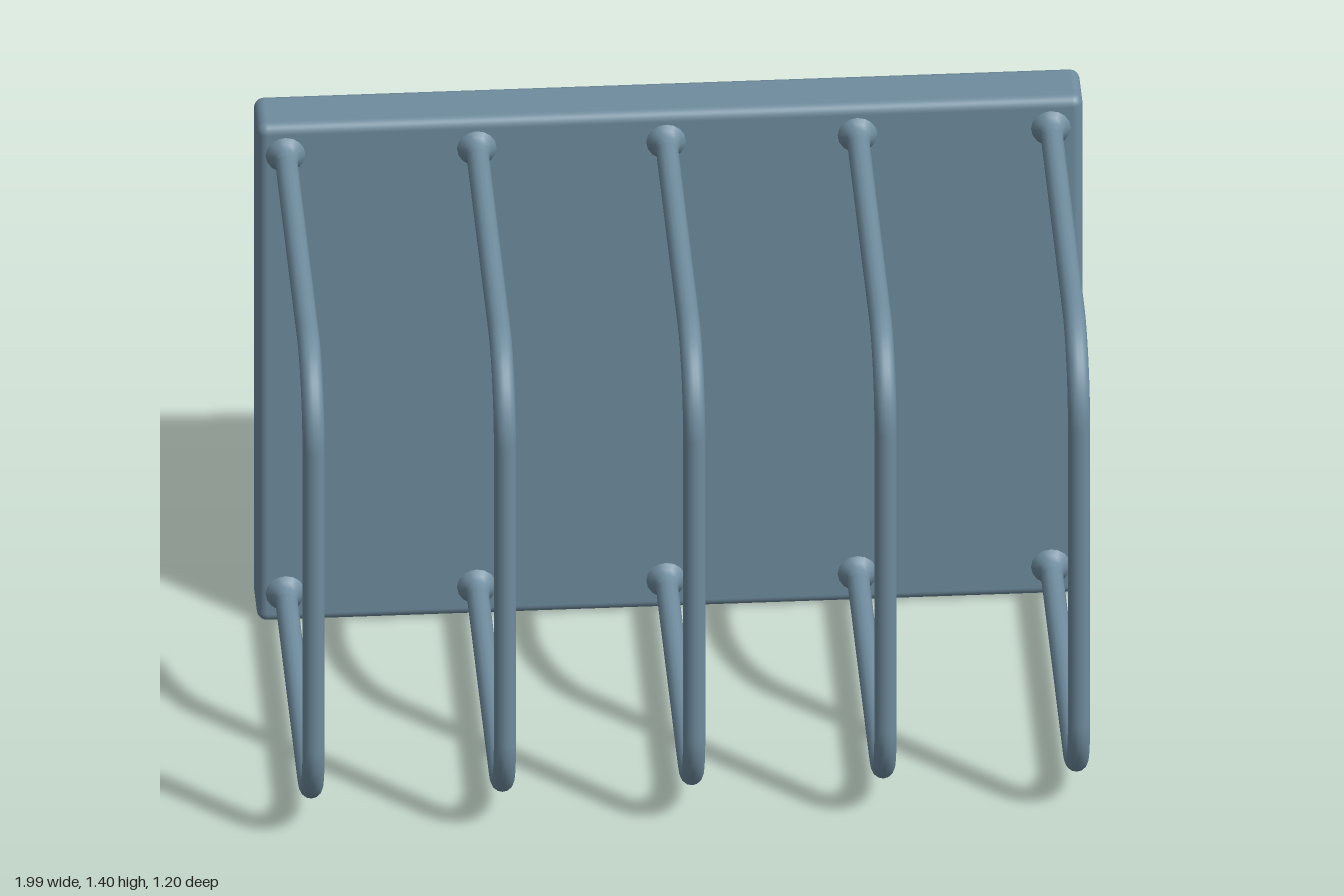
import * as THREE from 'three';
import { RoundedBoxGeometry } from 'three/addons/geometries/RoundedBoxGeometry.js';

const PLATE_FRONT = -0.44, PLATE_BACK = -0.592;
const LOW = 0.1, HIGH = 1.34, REACH = 0.583, BEND = 0.2, ROD = 0.027;

// U-shaped hoop in the y-z plane: straight runs joined by rounded bends
function hoopPath() {
  const v = (y, z) => new THREE.Vector3(0, y, z);
  const path = new THREE.CurvePath();
  const k = BEND * 0.45; // bezier handle inset from the corner
  const start = PLATE_FRONT - 0.05;
  path.add(new THREE.LineCurve3(v(LOW, start), v(LOW, REACH - BEND)));
  path.add(new THREE.CubicBezierCurve3(v(LOW, REACH - BEND), v(LOW, REACH - k), v(LOW + k, REACH), v(LOW + BEND, REACH)));
  path.add(new THREE.LineCurve3(v(LOW + BEND, REACH), v(HIGH - BEND, REACH)));
  path.add(new THREE.CubicBezierCurve3(v(HIGH - BEND, REACH), v(HIGH - k, REACH), v(HIGH, REACH - k), v(HIGH, REACH - BEND)));
  path.add(new THREE.LineCurve3(v(HIGH, REACH - BEND), v(HIGH, start)));
  return path;
}

export function createModel() {
  const group = new THREE.Group();
  const material = new THREE.MeshStandardMaterial({ color: 0x6f8c9e });
  const add = (parent, geometry, name) => {
    const mesh = new THREE.Mesh(geometry, material);
    mesh.name = name;
    parent.add(mesh);
    return mesh;
  };

  // Upright back plate with softened edges
  const plate = add(group, new RoundedBoxGeometry(1.985, 1.405, PLATE_FRONT - PLATE_BACK, 4, 0.025), 'backPlate');
  plate.position.set(0, 0.7175, (PLATE_FRONT + PLATE_BACK) / 2);

  // Row of hoops, each with a small flared joint where it meets the plate
  const hoopGeometry = new THREE.TubeGeometry(hoopPath(), 160, ROD, 14, false);
  const flare = [[0.05, -0.01], [0.047, 0.003], [0.036, 0.012], [0.029, 0.028], [0.026, 0.05]];
  const jointGeometry = new THREE.LatheGeometry(flare.map(([r, y]) => new THREE.Vector2(r, y)), 16);
  jointGeometry.rotateX(Math.PI / 2);

  [-0.925, -0.465, -0.01, 0.45, 0.915].forEach((x, i) => {
    const hoop = new THREE.Group();
    hoop.name = `hoop${i + 1}`;
    hoop.position.x = x;
    add(hoop, hoopGeometry, 'rod');
    for (const [name, y] of [['lowerJoint', LOW], ['upperJoint', HIGH]]) {
      add(hoop, jointGeometry, name).position.set(0, y, PLATE_FRONT);
    }
    group.add(hoop);
  });

  return group;
}
